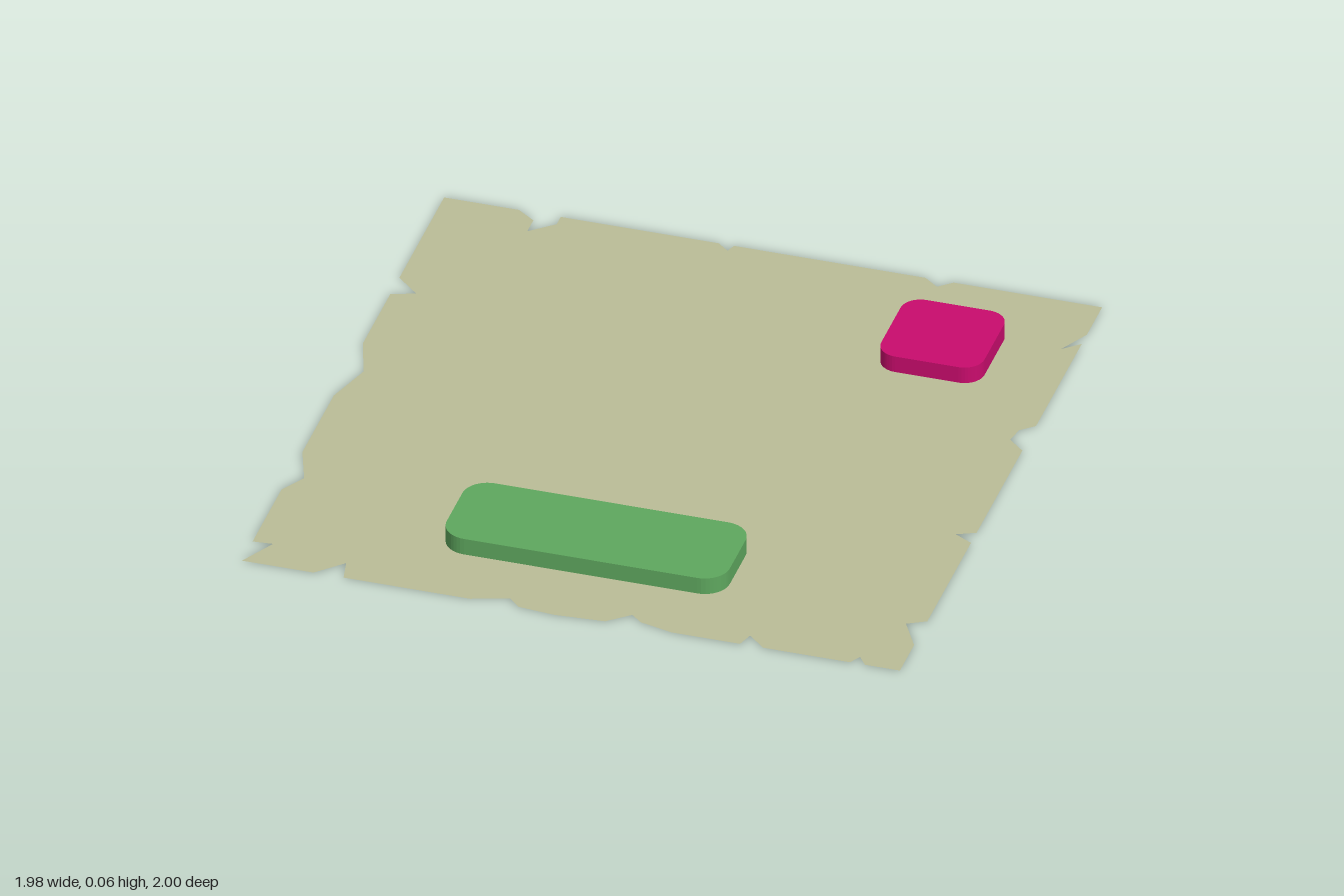
import * as THREE from 'three';

const material = (name, color, side = THREE.FrontSide) => {
  const m = new THREE.MeshStandardMaterial({ color, side });
  m.name = name;
  return m;
};

// Torn outline as [x, z] points, one edge at a time
const backEdge = [
  [-0.99, -1], [-0.765, -1], [-0.71, -0.96], [-0.71, -0.9], [-0.64, -0.96], [-0.64, -1],
  [-0.165, -1], [-0.13, -0.97], [-0.12, -1], [0.455, -1], [0.5, -0.965], [0.54, -1],
];
const leftEdge = [
  [0.985, -1], [0.985, -0.85], [0.935, -0.755], [0.985, -0.8],
  [0.985, -0.35], [0.945, -0.315], [0.935, -0.26], [0.985, -0.215],
  [0.985, 0.235], [0.93, 0.26], [0.985, 0.29], [0.985, 0.72], [0.93, 0.75], [0.985, 0.85],
];
const frontEdge = [
  [0.985, 0.99], [0.88, 0.99], [0.855, 0.955], [0.835, 0.99], [0.575, 0.99], [0.52, 0.94], [0.505, 0.99],
  [0.3, 0.99], [0.2, 0.965], [0.165, 0.935], [0.1, 0.99], [-0.05, 1], [-0.16, 0.99], [-0.195, 0.955],
  [-0.305, 0.99], [-0.685, 0.99], [-0.7, 0.915], [-0.775, 0.99],
];
const rightEdge = [
  [-0.99, 0.99], [-0.93, 0.88], [-0.99, 0.885], [-0.99, 0.6], [-0.945, 0.525], [-0.99, 0.395],
  [-0.99, 0.085], [-0.945, -0.06], [-0.99, -0.2], [-0.99, -0.47], [-0.92, -0.495], [-0.99, -0.56],
];

function tornSheet(mat) {
  const outline = [...backEdge, ...leftEdge, ...frontEdge, ...rightEdge];
  const shape = new THREE.Shape(outline.map(([x, z]) => new THREE.Vector2(x, -z)));
  const mesh = new THREE.Mesh(new THREE.ShapeGeometry(shape).rotateX(-Math.PI / 2), mat);
  mesh.name = 'tornSheet';
  return mesh;
}

// Slab with rounded vertical corners, lying just above the sheet
function roundedSlab(name, width, depth, radius, x, z, mat) {
  const w = width / 2 - radius, d = depth / 2 - radius;
  const shape = new THREE.Shape();
  shape.absarc(w, d, radius, 0, Math.PI / 2);
  shape.absarc(-w, d, radius, Math.PI / 2, Math.PI);
  shape.absarc(-w, -d, radius, Math.PI, Math.PI * 1.5);
  shape.absarc(w, -d, radius, Math.PI * 1.5, Math.PI * 2);
  shape.closePath();
  const geo = new THREE.ExtrudeGeometry(shape, { depth: 0.053, bevelEnabled: false, curveSegments: 5 });
  const mesh = new THREE.Mesh(geo.rotateX(-Math.PI / 2), mat);
  mesh.name = name;
  mesh.position.set(x, 0.01, z);
  return mesh;
}

export function createModel() {
  const group = new THREE.Group();
  group.name = 'sheetWithSlabs';
  group.add(
    tornSheet(material('khaki', 0xbbbd97, THREE.DoubleSide)),
    roundedSlab('longSlab', 0.85, 0.305, 0.075, -0.035, 0.635, material('green', 0x5ea75e)),
    roundedSlab('squareSlab', 0.31, 0.31, 0.06, 0.615, -0.643, material('magenta', 0xc90c6d)),
  );
  return group;
}
